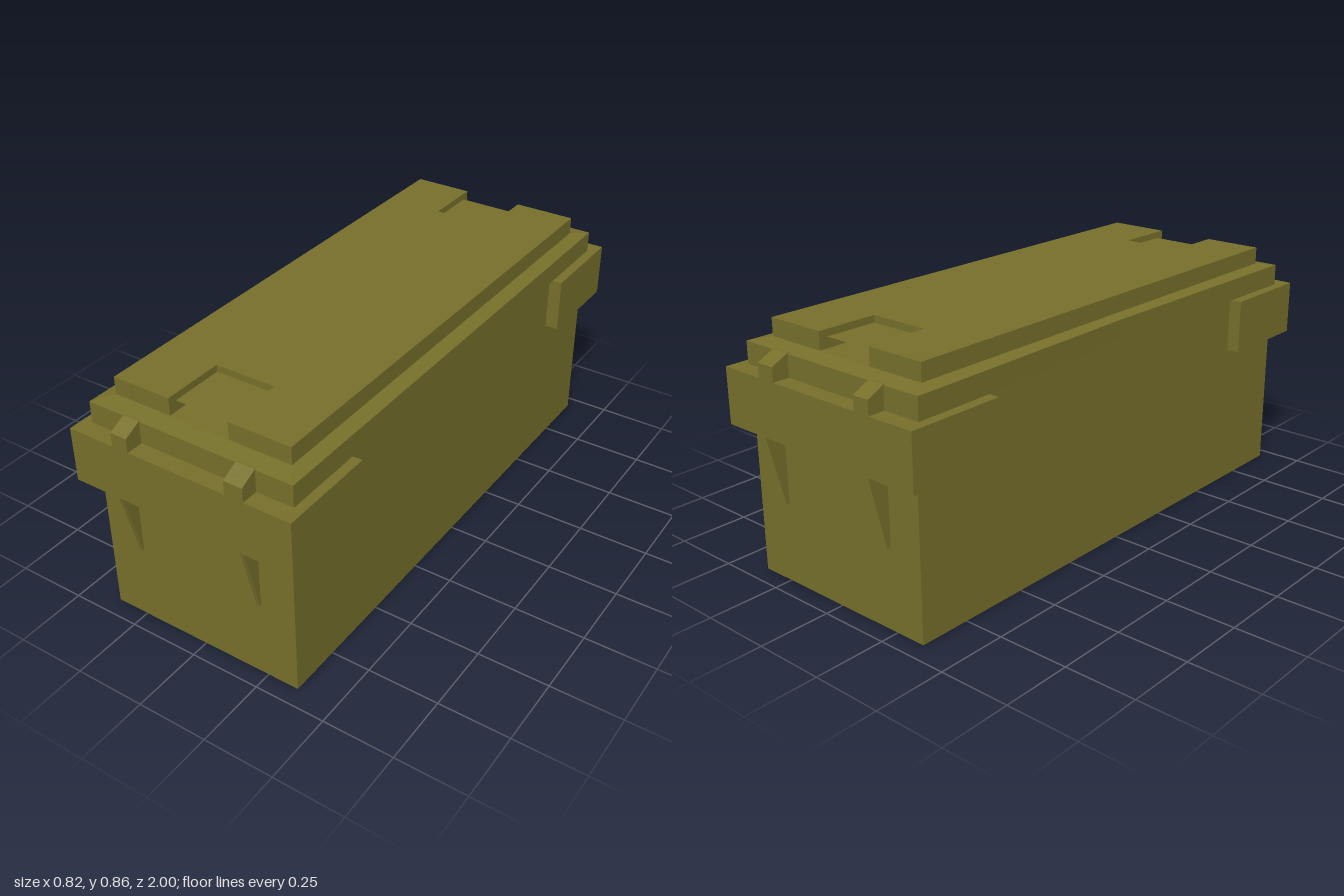
import * as THREE from 'three';
import { ConvexGeometry } from 'three/addons/geometries/ConvexGeometry.js';

const material = new THREE.MeshStandardMaterial({ color: 0x77702b, flatShading: true });

export function createModel() {
  const group = new THREE.Group();
  const add = (name, geometry) => {
    const mesh = new THREE.Mesh(geometry, material);
    mesh.name = name;
    group.add(mesh);
    return mesh;
  };
  const box = (name, x0, x1, y0, y1, z0, z1) =>
    add(name, new THREE.BoxGeometry(x1 - x0, y1 - y0, z1 - z0))
      .position.set((x0 + x1) / 2, (y0 + y1) / 2, (z0 + z1) / 2);

  // Extrudes a [z, y] outline along x; side -1 mirrors it to the back
  const profile = (name, points, x0, x1, side) => {
    const shape = new THREE.Shape(points.map(([z, y]) => new THREE.Vector2(z * side, y)));
    const geometry = new THREE.ExtrudeGeometry(shape, { depth: x1 - x0, bevelEnabled: false });
    add(name, geometry.rotateY(-Math.PI / 2).translate(x1, 0, 0));
  };

  // Main case, with a faint sag in the floor
  box('caseBody', -0.365, 0.365, 0.005, 0.72, -0.94, 0.94);
  add('floorSag', new ConvexGeometry([
    [-0.365, 0.005, -0.3], [-0.365, 0.005, 0.3], [-0.165, 0.005, 0], [-0.345, 0, 0],
  ].map((p) => new THREE.Vector3(...p))));

  // Lid rim: stacked rings, the right edge bowed slightly inward
  const ring = (y, x, z, midX) =>
    [[x, y, z], [x, y, -z], [-x, y, -z], [-midX, y, 0], [-x, y, z]];
  const rings = [
    ring(0.715, 0, 0, 0),
    ring(0.715, 0.378, 0.94, 0.364),
    ring(0.791, 0.378, 0.94, 0.364),
    ring(0.801, 0.33, 0.877, 0.33),
    ring(0.801, 0, 0, 0),
  ];
  const indices = [];
  for (let r = 0; r < rings.length - 1; r++) {
    for (let i = 0; i < 5; i++) {
      const a = r * 5 + i, b = r * 5 + (i + 1) % 5;
      indices.push(a, b, b + 5, a, b + 5, a + 5);
    }
  }
  const rim = new THREE.BufferGeometry();
  rim.setAttribute('position', new THREE.Float32BufferAttribute(rings.flat(2), 3));
  rim.setIndex(indices);
  const rimFlat = rim.toNonIndexed();
  rimFlat.computeVertexNormals();
  add('lidRim', rimFlat);

  // Raised lid panel, notched at both ends
  const x = 0.328, z = 0.876, n0 = -0.115, n1 = 0.105, nz = 0.655;
  const panel = new THREE.Shape([
    [-x, -z], [n0, -z], [n0, -nz], [n1, -nz], [n1, -z], [x, -z],
    [x, z], [n1, z], [n1, nz], [n0, nz], [n0, z], [-x, z],
  ].map(([px, pz]) => new THREE.Vector2(px, pz)));
  add('lidPanel', new THREE.ExtrudeGeometry(panel, { depth: 0.062, bevelEnabled: false })
    .rotateX(-Math.PI / 2).translate(0, 0.8, 0));

  for (const side of [1, -1]) {
    // Grip tongue in the notch, undercut from the end
    profile('gripTongue', [[nz, 0.838], [0.845, 0.838], [nz, 0.801]], n0, n1, side);

    // Thick collar wrapping the end of the case
    const zs = [0.65 * side, side].sort((a, b) => a - b);
    box('endCollar', -0.412, 0.412, 0.523, 0.715, ...zs);

    // Sloped lid catches
    const latch = [[0.93, 0.715], [1, 0.715], [1, 0.764], [0.94, 0.793], [0.93, 0.793]];
    profile('catch', latch, -0.241, -0.18, side);
    profile('catch', latch, 0.18, 0.247, side);

    // Tapered ribs below the collar
    const rib = [[0.94, 0.525], [1, 0.525], [0.94, 0.28]];
    profile('rib', rib, -0.241, -0.225, side);
    profile('rib', rib, 0.223, 0.239, side);
  }
  return group;
}
